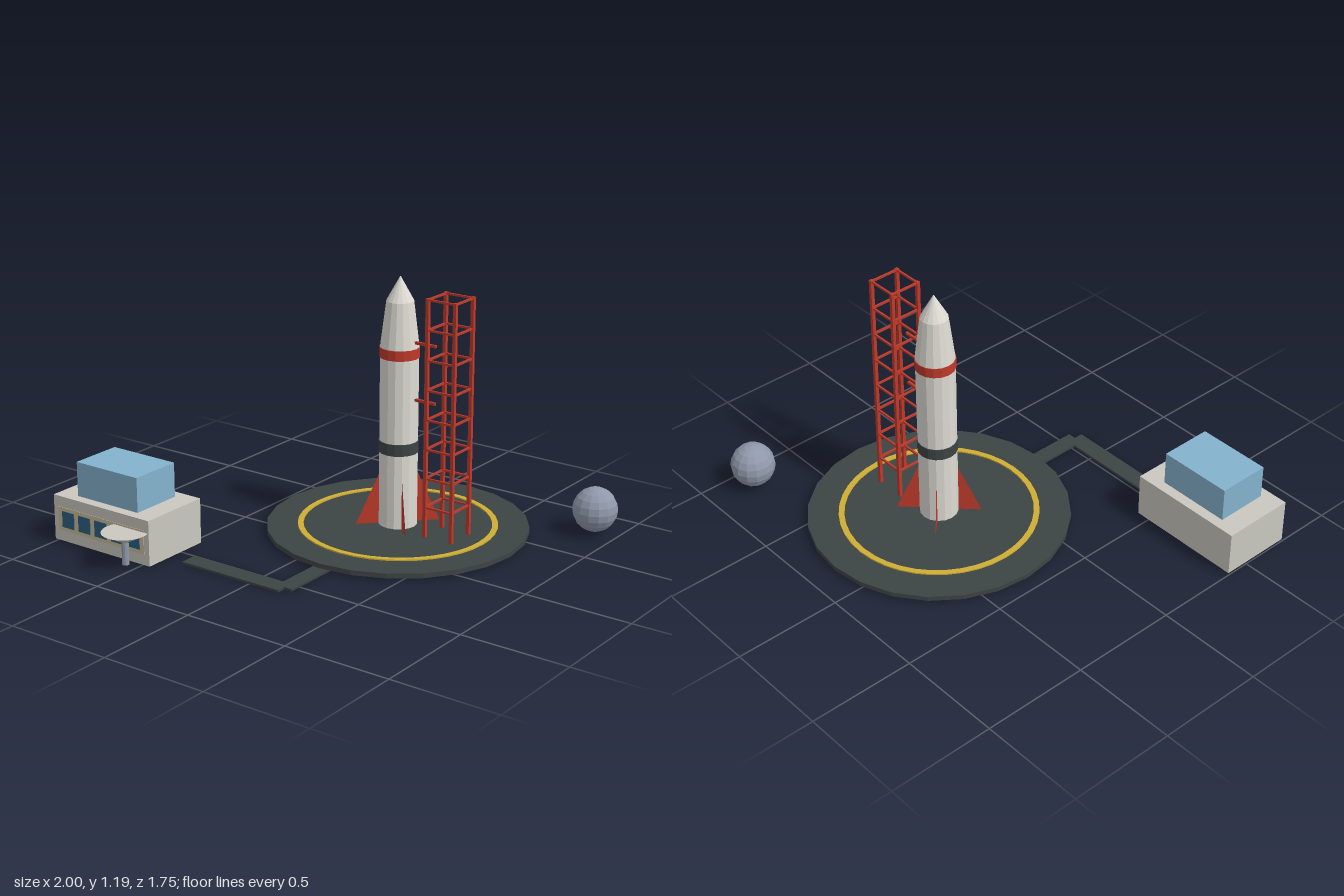
import * as THREE from 'three';

const mat = (name, color, opts = {}) => {
  const m = new THREE.MeshStandardMaterial({ color, flatShading: true, ...opts });
  m.name = name;
  return m;
};

export function createModel() {
  const root = new THREE.Group();
  root.name = 'launchSite';

  const asphalt = mat('asphalt', 0x3d4444);
  const yellow = mat('markingYellow', 0xcfae35);
  const white = mat('rocketWhite', 0xdddbd3);
  const red = mat('red', 0xbf3a2b, { side: THREE.DoubleSide });
  const concrete = mat('concrete', 0xc9c7bf);
  const glass = mat('blueGlass', 0x83b2cd);
  const windowBlue = mat('windowBlue', 0x2f5f80);
  const beige = mat('beige', 0xcbbd9c);
  const steel = mat('steel', 0x8f98aa);

  const add = (parent, name, geo, material, x = 0, y = 0, z = 0) => {
    const m = new THREE.Mesh(geo, material);
    m.name = name;
    m.position.set(x, y, z);
    parent.add(m);
    return m;
  };
  // Box given by its minimum and maximum corners
  const box = (parent, name, material, [x0, y0, z0], [x1, y1, z1]) =>
    add(parent, name, new THREE.BoxGeometry(x1 - x0, y1 - y0, z1 - z0), material,
      (x0 + x1) / 2, (y0 + y1) / 2, (z0 + z1) / 2);
  const lathe = (pts, n) =>
    new THREE.LatheGeometry(pts.map(([r, y]) => new THREE.Vector2(r, y)), n);

  // Launch pad with painted ring
  const pad = new THREE.Group();
  pad.name = 'launchPad';
  pad.position.set(0.155, 0, -0.285);
  root.add(pad);
  add(pad, 'padDisc', new THREE.CylinderGeometry(0.595, 0.595, 0.022, 24), asphalt, 0, 0.023, 0);
  add(pad, 'padRing', lathe(
    [[0.427, 0.033], [0.453, 0.033], [0.453, 0.04], [0.427, 0.04], [0.427, 0.033]], 40), yellow);

  // Access road
  box(root, 'roadToPad', asphalt, [0.115, 0, 0.04], [0.195, 0.01, 0.557]);
  box(root, 'roadToBuilding', asphalt, [-0.37, 0, 0.515], [0.155, 0.0105, 0.6]);

  // Rocket body, nose and bands
  const rocket = new THREE.Group();
  rocket.name = 'rocket';
  rocket.position.copy(pad.position);
  root.add(rocket);
  add(rocket, 'rocketBody', lathe(
    [[0, 0.036], [0.088, 0.036], [0.088, 0.87], [0.062, 1.075], [0, 1.187]], 16), white);
  const band = (name, material, y0, y1) =>
    add(rocket, name, new THREE.CylinderGeometry(0.091, 0.091, y1 - y0, 16), material, 0, (y0 + y1) / 2, 0);
  band('upperBand', red, 0.822, 0.868);
  band('lowerBand', asphalt, 0.382, 0.436);

  // Four thin fins on the diagonals
  const fin = new THREE.Shape([
    new THREE.Vector2(0.084, 0.04), new THREE.Vector2(0.192, 0.04), new THREE.Vector2(0.084, 0.285)]);
  for (let i = 0; i < 4; i++) {
    add(rocket, 'fin', new THREE.ShapeGeometry(fin), red).rotation.y = Math.PI / 4 + i * Math.PI / 2;
  }

  // Service tower: posts, ring rungs and arms to the rocket
  const tower = new THREE.Group();
  tower.name = 'serviceTower';
  tower.position.set(0.417, 0, -0.285);
  root.add(tower);
  const h = 0.07;
  for (const sx of [-1, 1]) for (const sz of [-1, 1]) {
    add(tower, 'towerPost', new THREE.BoxGeometry(0.016, 1.095, 0.016), red, sx * h, 0.5815, sz * h);
  }
  for (let i = 0; i < 8; i++) {
    const y = 0.174 + i * 0.1355;
    for (const s of [-1, 1]) {
      add(tower, 'towerRung', new THREE.BoxGeometry(2 * h, 0.009, 0.009), red, 0, y, s * h);
      add(tower, 'towerRung', new THREE.BoxGeometry(0.009, 0.009, 2 * h), red, s * h, y, 0);
    }
  }
  for (const y of [0.635, 0.897]) {
    box(tower, 'towerArm', red, [-0.185, y - 0.006, -0.006], [-h, y + 0.006, 0.006]);
  }

  // Control building with glazed upper floor and a window strip
  const building = new THREE.Group();
  building.name = 'controlBuilding';
  root.add(building);
  box(building, 'buildingBase', concrete, [-1, 0.012, 0.385], [-0.444, 0.222, 0.73]);
  box(building, 'upperFloor', glass, [-0.898, 0.222, 0.435], [-0.547, 0.382, 0.682]);
  box(building, 'windowSurround', beige, [-0.972, 0.062, 0.729], [-0.472, 0.172, 0.732]);
  for (let i = 0; i < 5; i++) {
    const x = -0.914 + i * 0.096;
    box(building, 'window', windowBlue, [x - 0.035, 0.08, 0.73], [x + 0.035, 0.155, 0.735]);
  }

  // Antenna dish on a pole
  add(root, 'dishPole', new THREE.CylinderGeometry(0.016, 0.016, 0.115, 10), steel, -0.545, 0.0695, 0.77);
  add(root, 'dish', new THREE.CylinderGeometry(0.104, 0, 0.055, 24), concrete, -0.545, 0.1365, 0.77);

  // Spherical storage tank
  add(root, 'storageTank', new THREE.SphereGeometry(0.103, 14, 10), steel, 0.893, 0.117, -0.775);

  return root;
}
